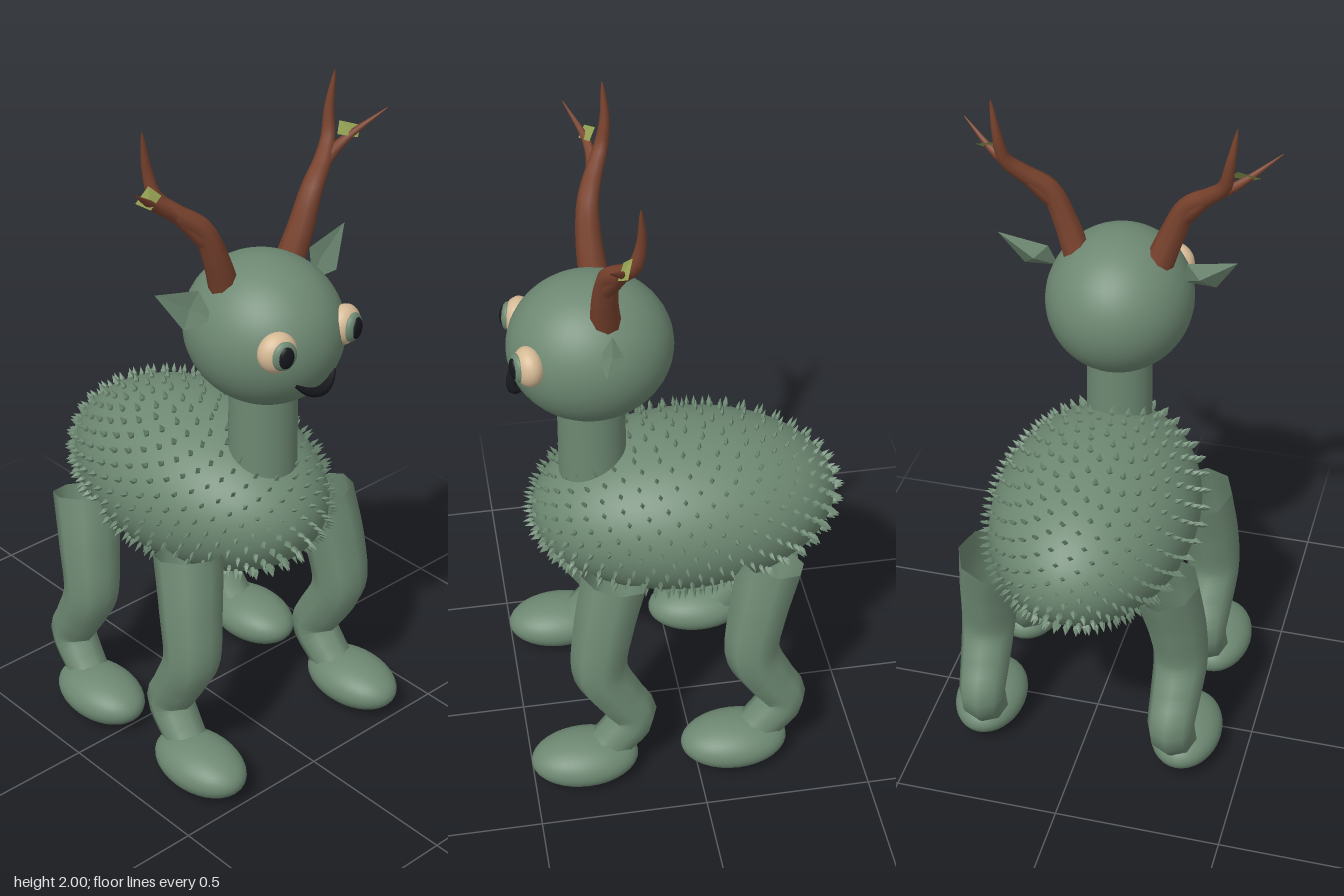
import * as THREE from 'three';
import { mergeGeometries } from 'three/addons/utils/BufferGeometryUtils.js';

const V = (x, y, z) => new THREE.Vector3(x, y, z);

function material(name, color, side = THREE.FrontSide) {
  return new THREE.MeshStandardMaterial({ name, color, side });
}

// Tube along a smooth path whose radius follows a function of 0..1
function taperedTube(points, radiusAt, segments = 24, sides = 8) {
  const curve = new THREE.CatmullRomCurve3(points);
  const geometry = new THREE.TubeGeometry(curve, segments, 1, sides, false);
  const pos = geometry.attributes.position;
  const p = new THREE.Vector3();
  for (let i = 0; i < pos.count; i++) {
    const t = Math.floor(i / (sides + 1)) / segments;
    const c = curve.getPointAt(t);
    p.fromBufferAttribute(pos, i).sub(c).multiplyScalar(radiusAt(t)).add(c);
    pos.setXYZ(i, p.x, p.y, p.z);
  }
  return geometry;
}

// Flat-faced surface fanned from a centre point to a closed outline
function fan(centre, outline) {
  const corners = [];
  outline.forEach((p, i) => corners.push(centre, p, outline[(i + 1) % outline.length]));
  const geometry = new THREE.BufferGeometry().setFromPoints(corners);
  geometry.computeVertexNormals();
  return geometry;
}

export function createModel() {
  const group = new THREE.Group();
  group.name = 'hornedCreature';
  const green = material('mossGreen', 0x6d8872, THREE.DoubleSide);
  const brown = material('antlerBrown', 0x7a432e);
  const cream = material('eyeCream', 0xd6ba96);
  const black = material('black', 0x15171b);
  const leafGreen = material('leafGreen', 0x93a052, THREE.DoubleSide);

  const add = (name, geometry, mat, parent = group) => {
    const mesh = new THREE.Mesh(geometry, mat);
    mesh.name = name;
    parent.add(mesh);
    return mesh;
  };
  const ellipsoid = (name, mat, centre, radii, segments = 32, parent = group) => {
    const mesh = add(name, new THREE.SphereGeometry(1, segments, segments * 0.75), mat, parent);
    mesh.position.set(...centre);
    mesh.scale.set(...radii);
    return mesh;
  };

  // Body, neck and head
  const bodyCentre = V(0, 0.79, -0.015), bodyRadii = V(0.305, 0.25, 0.455);
  ellipsoid('body', green, bodyCentre.toArray(), bodyRadii.toArray(), 40);
  add('neck', new THREE.CylinderGeometry(0.097, 0.1, 0.32, 32), green).position.set(0, 1.06, 0.255);
  ellipsoid('head', green, [0, 1.37, 0.252], [0.217, 0.215, 0.236], 40);

  // Small pointed tufts spread evenly over the body
  const tufts = [], count = 620, up = V(0, 1, 0);
  for (let i = 0; i < count; i++) {
    const y = 1 - (2 * (i + 0.5)) / count;
    const r = Math.sqrt(1 - y * y), a = i * Math.PI * (3 - Math.sqrt(5));
    const dir = V(r * Math.cos(a), y, r * Math.sin(a));
    const normal = dir.clone().divide(bodyRadii).normalize();
    const tuft = new THREE.OctahedronGeometry(1);
    tuft.scale(0.01, 0.023, 0.007);
    tuft.computeVertexNormals();
    tuft.applyQuaternion(new THREE.Quaternion().setFromUnitVectors(up, normal));
    const at = dir.multiply(bodyRadii).add(bodyCentre).addScaledVector(normal, 0.008);
    tuft.translate(at.x, at.y, at.z);
    tufts.push(tuft);
  }
  add('bodyTufts', mergeGeometries(tufts), green);

  // Smile
  const smile = [V(-0.075, 1.292, 0.457), V(-0.04, 1.268, 0.472), V(0, 1.258, 0.478),
    V(0.04, 1.268, 0.472), V(0.075, 1.292, 0.457)];
  add('mouth', taperedTube(smile, t => 0.004 + 0.011 * Math.sin(Math.PI * t)), black);

  for (const s of [1, -1]) {
    const side = s > 0 ? 'left' : 'right';
    const P = (x, y, z) => V(s * x, y, z);

    // Legs with open tops, and rounded feet
    for (const [end, dz] of [['Front', 0], ['Rear', -0.46]]) {
      const leg = [P(0.262, 0.725, 0.232 + dz), P(0.288, 0.56, 0.272 + dz), P(0.3, 0.41, 0.288 + dz),
        P(0.298, 0.3, 0.235 + dz), P(0.296, 0.215, 0.19 + dz), P(0.3, 0.14, 0.24 + dz), P(0.305, 0.08, 0.3 + dz)];
      add(side + end + 'Leg', taperedTube(leg, t => 0.101 - 0.04 * t, 28), green);
      ellipsoid(side + end + 'Foot', green, [s * 0.315, 0.075, 0.344 + dz], [0.108, 0.075, 0.163]);
    }

    // Eye layers, turned slightly outward
    const eye = new THREE.Group();
    eye.name = side + 'Eye';
    eye.position.set(s * 0.125, 1.403, 0.437);
    eye.rotation.y = s * 0.25;
    group.add(eye);
    ellipsoid('eyeball', cream, [0, 0, 0], [0.057, 0.058, 0.042], 24, eye);
    ellipsoid('iris', green, [-s * 0.004, 0.002, 0.031], [0.038, 0.042, 0.018], 24, eye);
    ellipsoid('pupil', black, [-s * 0.004, 0.002, 0.042], [0.024, 0.032, 0.012], 20, eye);

    // Ear: folded leaf shape with a hollow front and a ridged back
    const rim = [P(0.185, 1.45, 0.25), P(0.285, 1.448, 0.245), P(0.352, 1.56, 0.205), P(0.205, 1.53, 0.215)];
    if (s < 0) rim.reverse();
    add(side + 'EarFront', fan(P(0.245, 1.49, 0.222), rim), green);
    add(side + 'EarBack', fan(P(0.245, 1.49, 0.2), rim.slice().reverse()), green);

    // Antler: rising beam and one outer branch
    const beam = [P(0.115, 1.5, 0.22), P(0.155, 1.61, 0.228), P(0.2, 1.71, 0.222), P(0.265, 1.765, 0.195),
      P(0.312, 1.815, 0.168), P(0.328, 1.89, 0.153), P(0.345, 2, 0.155)];
    add(side + 'AntlerBeam', taperedTube(beam, t => 0.0015 + 0.042 * Math.pow(1 - t, 0.7), 28), brown);
    const branch = [P(0.19, 1.68, 0.225), P(0.265, 1.758, 0.198), P(0.345, 1.81, 0.2), P(0.455, 1.89, 0.253)];
    add(side + 'AntlerBranch', taperedTube(branch, t => 0.0015 + 0.028 * (1 - t), 20), brown);

    // Leaf hanging between the antler tips
    const leaf = [P(0.318, 1.832, 0.198), P(0.375, 1.815, 0.222), P(0.408, 1.836, 0.2), P(0.345, 1.86, 0.178)];
    if (s < 0) leaf.reverse();
    add(side + 'AntlerLeaf', fan(P(0.362, 1.84, 0.2), leaf), leafGreen);
  }

  return group;
}
